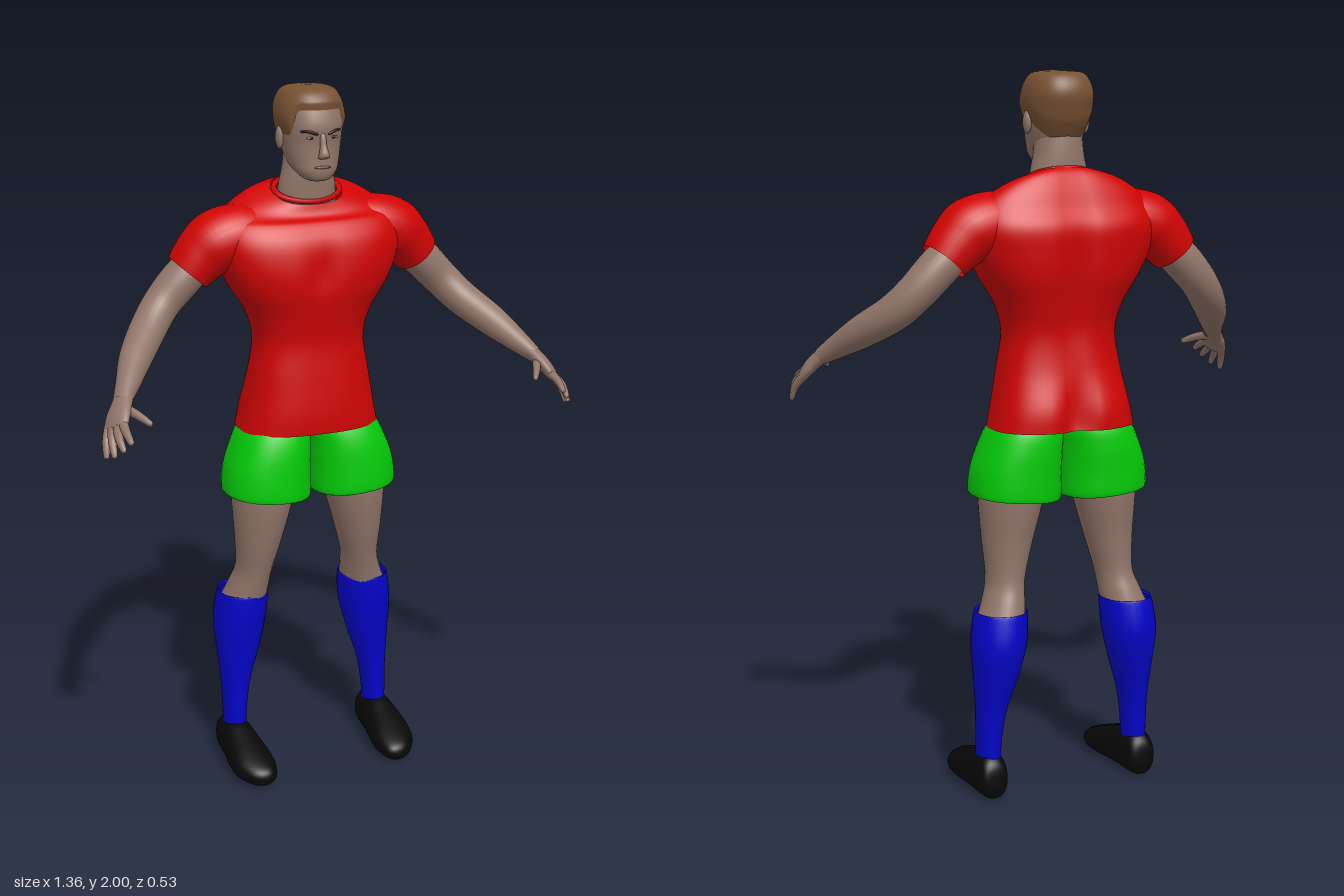
import * as THREE from 'three';

const V = (x, y, z) => new THREE.Vector3(x, y, z);
const paint = (name, color, open) => {
  const m = new THREE.MeshStandardMaterial({ color });
  m.name = name;
  if (open) m.side = THREE.DoubleSide;
  return m;
};
const smooth = THREE.MathUtils.smoothstep;
const bell = (d, w) => Math.exp(-((d / w) ** 2));
const spow = (c, n) => Math.sign(c) * Math.abs(c) ** (2 / n);

// Smoothly interpolated row of a table, t from 0 to 1
function sample(rows, t) {
  const f = t * (rows.length - 1), i = Math.min(Math.floor(f), rows.length - 2), k = f - i;
  const at = j => rows[Math.max(0, Math.min(rows.length - 1, j))];
  const [p, q, r, s] = [at(i - 1), at(i), at(i + 1), at(i + 2)];
  return q.map((b, c) => b + 0.5 * k * (r[c] - p[c] +
    k * (2 * p[c] - 5 * b + 4 * r[c] - s[c] + k * (3 * (b - r[c]) + s[c] - p[c]))));
}

// Surface closed around its first parameter
function wrap(nu, nv, f) {
  const pos = [], index = [];
  for (let j = 0; j <= nv; j++) for (let i = 0; i < nu; i++) {
    pos.push(...f((i / nu) * Math.PI * 2, j / nv).toArray());
    if (j === nv) continue;
    const a = j * nu + i, b = j * nu + (i + 1) % nu;
    index.push(a, a + nu, b, b, a + nu, b + nu);
  }
  const g = new THREE.BufferGeometry();
  g.setAttribute('position', new THREE.Float32BufferAttribute(pos, 3));
  g.setIndex(index);
  g.computeVertexNormals();
  return g;
}

// Loft through rows of [x, y, z, half size along ref, half size across]
function loft(rows, { ref = V(1, 0, 0), dir = null, power = 2, seg = 28, steps = 5, rule = null } = {}) {
  return wrap(seg, (rows.length - 1) * steps, (th, t) => {
    const [x, y, z, a, b] = sample(rows, t);
    const lo = sample(rows, Math.max(0, t - 0.02)), hi = sample(rows, Math.min(1, t + 0.02));
    const tan = dir || V(hi[0] - lo[0], hi[1] - lo[1], hi[2] - lo[2]).normalize();
    const u = ref.clone().addScaledVector(tan, -ref.dot(tan)).normalize();
    const w = u.clone().cross(tan);
    const p = V(x, y, z).addScaledVector(u, Math.max(a, 0) * spow(Math.cos(th), power))
      .addScaledVector(w, Math.max(b, 0) * spow(Math.sin(th), power));
    if (rule) rule(p, z);
    return p;
  });
}

function mirror(g) {
  const m = g.clone().scale(-1, 1, 1), ix = m.index;
  for (let i = 0; i < ix.count; i += 3) {
    const k = ix.getX(i);
    ix.setX(i, ix.getX(i + 1));
    ix.setX(i + 1, k);
  }
  m.computeVertexNormals();
  return m;
}

// Head profile: y, front z, back z, half width
const HEAD = [
  [1.748, -0.025, -0.025, 0], [1.753, 0.0, -0.06, 0.032], [1.775, 0.01, -0.1, 0.056],
  [1.805, 0.01, -0.15, 0.07], [1.85, 0.01, -0.175, 0.079], [1.895, 0.016, -0.19, 0.083],
  [1.935, 0.007, -0.198, 0.083], [1.966, -0.008, -0.188, 0.073], [1.986, -0.036, -0.16, 0.052],
  [1.991, -0.09, -0.09, 0],
];
const HP = 2.3;
function headPoint(th, t, off = 0) {
  const [y, f, b, hw] = sample(HEAD, t);
  return V((Math.max(hw, 0) + off) * spow(Math.cos(th), HP), y + 0.009 * smooth(t, 0.6, 1) * Math.sign(off),
    (f + b) / 2 + (Math.max(f - b, 0) / 2 + off) * spow(Math.sin(th), HP));
}
// Point on the face at a given x and y
function facePoint(x, y, off = 0) {
  let i = 1;
  while (HEAD[i + 1][0] < y) i++;
  const t = (i + (y - HEAD[i][0]) / (HEAD[i + 1][0] - HEAD[i][0])) / (HEAD.length - 1);
  const [, f, b, hw] = sample(HEAD, t);
  return V(x, y, (f + b) / 2 + ((f - b) / 2) * (1 - Math.abs(x / hw) ** HP) ** (1 / HP) + off);
}

export function createModel() {
  const root = new THREE.Group();
  root.name = 'footballer';
  const skin = paint('skin', 0x92766a, true), hair = paint('hair', 0x785133, true);
  const red = paint('shirtRed', 0xd00404, true), green = paint('shortsGreen', 0x04cc08, true);
  const blue = paint('sockBlue', 0x0404c8, true), black = paint('shoeBlack', 0x080808, true);
  const dark = paint('browDark', 0x2a1d17), white = paint('eyeWhite', 0x8f8781), lip = paint('lip', 0x7b5a50);
  const add = (name, g, mat) => {
    const m = new THREE.Mesh(g, mat);
    m.name = name;
    root.add(m);
  };
  const pair = (name, g, mat) => {
    add('left' + name, g, mat);
    add('right' + name, mirror(g), mat);
  };
  const ball = (p, sx, sy, sz) => new THREE.SphereGeometry(1, 16, 10).scale(sx, sy, sz).translate(p.x, p.y, p.z);
  const up = V(0, 1, 0);

  // Shirt body with chest, spine and seat grooves and a sloping neckline
  add('shirt', loft([
    [0, 1.04, -0.12, 0.205, 0.14], [0, 1.1, -0.118, 0.192, 0.14], [0, 1.2, -0.106, 0.172, 0.122],
    [0, 1.3, -0.105, 0.157, 0.115], [0, 1.38, -0.107, 0.178, 0.13], [0, 1.45, -0.108, 0.222, 0.147],
    [0, 1.52, -0.111, 0.255, 0.152], [0, 1.59, -0.118, 0.27, 0.145], [0, 1.645, -0.121, 0.25, 0.112],
    [0, 1.685, -0.118, 0.18, 0.083], [0, 1.712, -0.112, 0.098, 0.067],
  ], {
    dir: up, power: 2.6, seg: 56, rule: (p, cz) => {
      const mid = bell(p.x, 0.035);
      if (p.z < cz - 0.04) p.z += mid * (0.035 * bell(p.y - 1.08, 0.08) + 0.022 * bell(p.y - 1.45, 0.17));
      else if (p.z > cz + 0.04) p.z -= mid * 0.018 * bell(p.y - 1.5, 0.07);
      p.y -= (p.z + 0.11) * 0.48 * smooth(p.y, 1.63, 1.7);
    },
  }), red);
  add('collar', new THREE.TorusGeometry(1, 0.09, 8, 40).rotateX(Math.PI / 2)
    .scale(0.094, 0.09, 0.064).rotateX(0.44).translate(0, 1.714, -0.111), red);
  pair('Sleeve', loft([
    [0.11, 1.605, -0.118, 0.06, 0.06], [0.18, 1.601, -0.119, 0.092, 0.083], [0.255, 1.583, -0.123, 0.095, 0.088],
    [0.3, 1.55, -0.127, 0.083, 0.079], [0.342, 1.503, -0.13, 0.073, 0.066],
  ], { ref: V(0, 0, 1) }), red);

  // Arms and hands
  pair('Arm', loft([
    [0.29, 1.55, -0.13, 0.055, 0.052], [0.36, 1.485, -0.132, 0.06, 0.055], [0.42, 1.422, -0.125, 0.055, 0.052],
    [0.47, 1.367, -0.088, 0.054, 0.05], [0.53, 1.312, -0.01, 0.046, 0.045], [0.575, 1.266, 0.065, 0.035, 0.033],
    [0.608, 1.232, 0.118, 0.029, 0.022],
  ], { ref: V(0, 0, 1) }), skin);
  const across = V(-0.035, 0.02, 0.06);
  pair('Palm', loft([
    [0.59, 1.25, 0.09, 0.027, 0.022], [0.612, 1.226, 0.125, 0.034, 0.02], [0.628, 1.203, 0.148, 0.041, 0.019],
    [0.641, 1.178, 0.17, 0.037, 0.014], [0.644, 1.172, 0.176, 0, 0],
  ], { ref: across }), skin);
  const digits = {
    IndexFinger: [[0.624, 1.193, 0.182], [0.627, 1.182, 0.222], [0.625, 1.164, 0.258]],
    MiddleFinger: [[0.635, 1.186, 0.172], [0.645, 1.168, 0.213], [0.643, 1.143, 0.248]],
    RingFinger: [[0.645, 1.18, 0.158], [0.658, 1.155, 0.195], [0.661, 1.122, 0.222]],
    LittleFinger: [[0.652, 1.176, 0.143], [0.667, 1.147, 0.168], [0.673, 1.11, 0.186]],
    Thumb: [[0.607, 1.222, 0.13], [0.582, 1.21, 0.178], [0.56, 1.195, 0.214]],
  };
  for (const [name, [a, b, c]] of Object.entries(digits)) {
    const tip = c.map((v, i) => v + (c[i] - b[i]) * 0.1);
    pair(name, loft([[...a, 0.014, 0.013], [...b, 0.012, 0.011], [...c, 0.008, 0.007], [...tip, 0, 0]],
      { ref: across, seg: 10, steps: 4 }), skin);
  }

  // Shorts, one flared tube for each leg with a turned-in hem
  pair('ShortsLeg', loft([
    [0.133, 0.858, -0.103, 0.106, 0.112], [0.131, 0.85, -0.103, 0.125, 0.125], [0.127, 0.92, -0.105, 0.122, 0.127],
    [0.114, 0.99, -0.109, 0.11, 0.125], [0.1, 1.045, -0.113, 0.097, 0.113], [0.09, 1.1, -0.113, 0.065, 0.08],
  ], { dir: up, power: 2.3, seg: 36, rule: p => { p.y += (p.x - 0.13) * 0.08; } }), green);

  // Legs, socks and shoes
  pair('Thigh', loft([
    [0.135, 0.98, -0.105, 0.09, 0.1], [0.141, 0.85, -0.103, 0.09, 0.102], [0.154, 0.72, -0.105, 0.069, 0.084],
    [0.165, 0.62, -0.117, 0.053, 0.07], [0.177, 0.56, -0.134, 0.058, 0.073], [0.192, 0.5, -0.15, 0.068, 0.078],
  ], { dir: up }), skin);
  pair('Sock', loft([
    [0.191, 0.53, -0.148, 0.066, 0.076], [0.191, 0.532, -0.148, 0.074, 0.083], [0.2, 0.445, -0.155, 0.077, 0.085],
    [0.208, 0.35, -0.151, 0.062, 0.071], [0.219, 0.25, -0.142, 0.043, 0.053], [0.225, 0.15, -0.137, 0.034, 0.048],
    [0.225, 0.07, -0.137, 0.034, 0.048],
  ], { dir: up }), blue);
  pair('Shoe', loft([
    [0.228, 0.055, -0.204, 0, 0], [0.228, 0.058, -0.198, 0.033, 0.045], [0.228, 0.066, -0.165, 0.045, 0.063],
    [0.227, 0.065, -0.1, 0.05, 0.063], [0.226, 0.056, -0.04, 0.059, 0.053], [0.222, 0.044, 0.03, 0.062, 0.041],
    [0.215, 0.036, 0.08, 0.043, 0.029], [0.211, 0.033, 0.099, 0.022, 0.017], [0.211, 0.033, 0.104, 0, 0],
  ], { dir: V(0, 0, 1), power: 2.25, rule: p => { p.y = Math.max(p.y, 0.003); } }), black);

  // Neck, head and hair
  add('neck', loft([
    [0, 1.64, -0.115, 0.085, 0.06], [0, 1.72, -0.109, 0.082, 0.061],
    [0, 1.78, -0.107, 0.07, 0.063], [0, 1.84, -0.105, 0.065, 0.06],
  ], { dir: up }), skin);
  add('head', wrap(48, 45, (th, t) => headPoint(th, t)), skin);
  add('hair', wrap(64, 24, (th, w) => {
    const s = Math.sin(th);
    const low = (s > 0 ? 4.5 + 1.7 * smooth(s, 0.4, 0.8) : 4.5 + 1.3 * s) / 9;
    return headPoint(th, low + (1 - low) * w, 0.009 * Math.min(1, w * 5, (1 - w) * 5));
  }), hair);
  pair('Ear', ball(V(0.085, 1.862, -0.092), 0.011, 0.032, 0.018), skin);

  // Face
  add('nose', loft([
    [0, 1.89, 0.008, 0, 0], [0, 1.875, 0.011, 0.008, 0.008], [0, 1.85, 0.016, 0.009, 0.011],
    [0, 1.827, 0.022, 0.014, 0.015], [0, 1.816, 0.017, 0.015, 0.012], [0, 1.811, 0.01, 0, 0],
  ], { dir: up, seg: 16 }), skin);
  pair('Eye', ball(facePoint(0.033, 1.87), 0.012, 0.004, 0.003), white);
  pair('Pupil', ball(facePoint(0.032, 1.87, 0.001), 0.005, 0.004, 0.003), dark);
  const brow = [[0.013, 1.878, 0], [0.02, 1.881, 0.004], [0.038, 1.887, 0.004], [0.054, 1.887, 0.003], [0.06, 1.884, 0]]
    .map(([x, y, r]) => [...facePoint(x, y).toArray(), r, r]);
  pair('Brow', loft(brow, { ref: up, seg: 8 }), dark);
  add('mouth', ball(facePoint(0, 1.79), 0.024, 0.004, 0.004), lip);
  return root;
}
